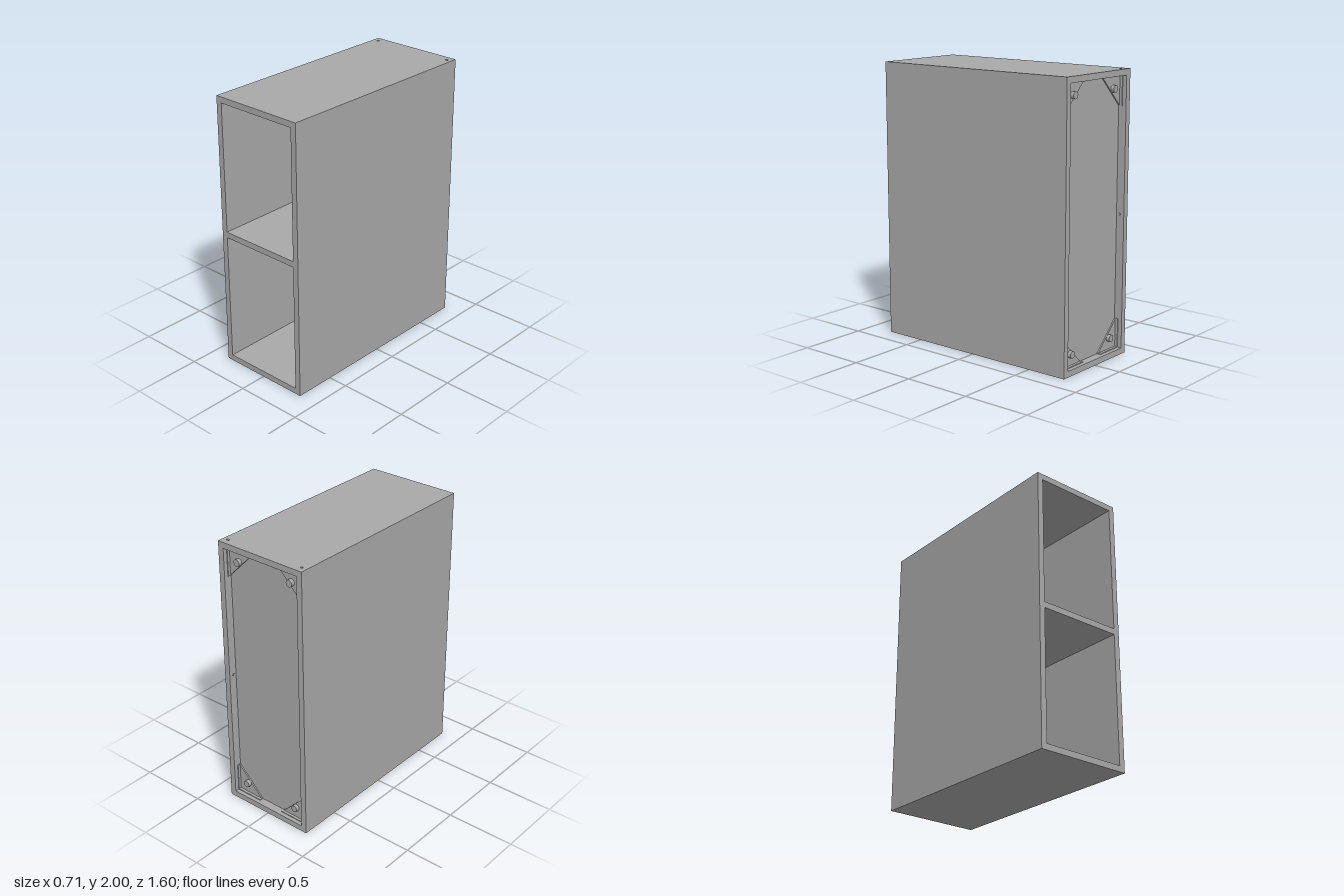
import * as THREE from 'three';

const W = 0.71, H = 2, D = 1.6, T = 0.043;   // outer size and board thickness
const IX = W / 2 - T;                        // inner half width
const PANEL_Z = -0.74;                       // rear face of the recessed back panel

export function createModel() {
  const grey = new THREE.MeshStandardMaterial({ color: 0xa8a8a8 });
  grey.name = 'plain grey';
  const root = new THREE.Group();
  root.name = 'openCabinet';

  const add = (name, geo, x, y, z, parent = root) => {
    const m = new THREE.Mesh(geo, grey);
    m.name = name;
    m.position.set(x, y, z);
    parent.add(m);
    return m;
  };
  const box = (name, w, h, d, x, y, z, parent) =>
    add(name, new THREE.BoxGeometry(w, h, d), x, y, z, parent);

  // Carcass boards
  for (const s of [1, -1]) {
    box(s > 0 ? 'leftSide' : 'rightSide', T, H - 2 * T, D, s * (W - T) / 2, H / 2, 0);
  }
  box('bottomBoard', W, T, D, 0, T / 2, 0);
  box('middleShelf', 2 * IX, T, D / 2 + 0.71, 0, 1.003, (D / 2 - 0.71) / 2);
  box('backPanel', 2 * IX, H - 2 * T, 0.03, 0, H / 2, PANEL_Z + 0.015);

  // Top board with two small slots near the rear corners
  const top = new THREE.Shape();
  top.moveTo(-W / 2, -D / 2).lineTo(W / 2, -D / 2).lineTo(W / 2, D / 2).lineTo(-W / 2, D / 2).closePath();
  for (const s of [1, -1]) {
    const slot = new THREE.Path();
    slot.absellipse(s * 0.315, 0.75, 0.012, 0.008, 0, Math.PI * 2, true);
    top.holes.push(slot);
  }
  const topGeo = new THREE.ExtrudeGeometry(top, { depth: T, bevelEnabled: false, curveSegments: 8 });
  topGeo.rotateX(-Math.PI / 2);
  add('topBoard', topGeo, 0, H - T, 0);

  // Corner brackets with flanges and bolts inside the rear recess
  const leg = 0.21, plate = 0.01;
  for (const sx of [1, -1]) {
    for (const sy of [1, -1]) {
      const bracket = new THREE.Group();
      bracket.name = 'cornerBracket';
      bracket.position.set(sx * IX, H / 2 + sy * (H / 2 - T), PANEL_Z);
      root.add(bracket);
      const tri = new THREE.Shape();
      tri.moveTo(0, 0).lineTo(-sx * leg, 0).lineTo(0, -sy * leg).closePath();
      add('bracketPlate', new THREE.ExtrudeGeometry(tri, { depth: plate, bevelEnabled: false }),
        0, 0, -plate, bracket);
      box('sideFlange', 0.006, leg, 0.03, -sx * 0.003, -sy * leg / 2, -0.015, bracket);
      box('levelFlange', leg, 0.006, 0.03, -sx * leg / 2, -sy * 0.003, -0.015, bracket);
      const head = new THREE.CylinderGeometry(0.025, 0.025, 0.03, 20).rotateX(Math.PI / 2);
      add('boltHead', head, -sx * 0.087, -sy * 0.087, -0.02, bracket);
    }
    // Small pin halfway up each recess wall
    const pin = new THREE.CylinderGeometry(0.008, 0.008, 0.006, 12).rotateZ(Math.PI / 2);
    add('wallPin', pin, sx * (IX - 0.003), H / 2, -0.765);
  }
  return root;
}
